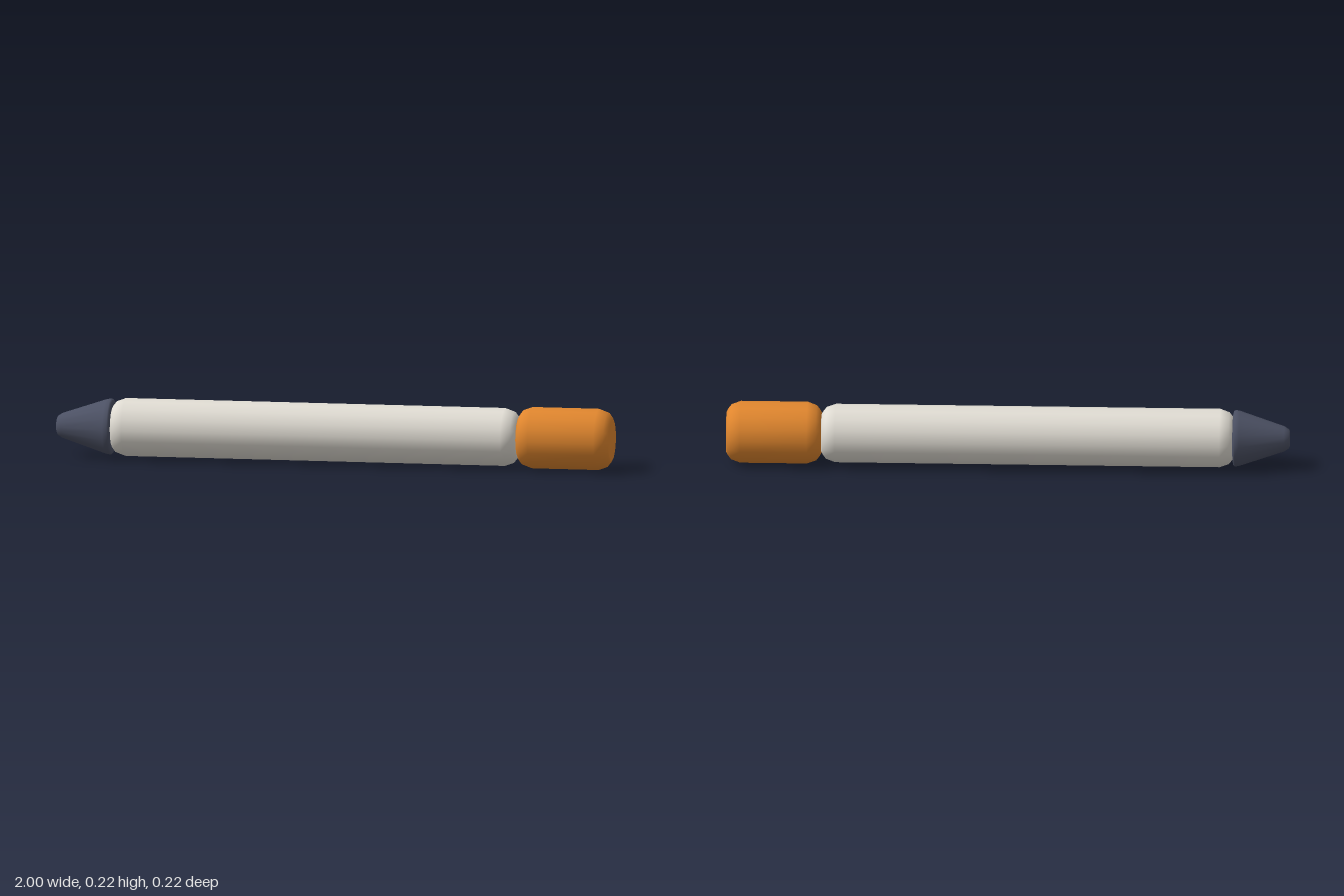
import * as THREE from 'three';

const material = (name, color) => {
  const m = new THREE.MeshStandardMaterial({ color });
  m.name = name;
  return m;
};

// Sixteen-sided solid of revolution along x, from [x, radius] pairs
function turned(name, profile, mat) {
  const points = profile.map(([x, r]) => new THREE.Vector2(r, x));
  const geometry = new THREE.LatheGeometry(points, 16);
  geometry.rotateZ(-Math.PI / 2);
  const mesh = new THREE.Mesh(geometry, mat);
  mesh.name = name;
  return mesh;
}

// Barrel with closed, rounded ends
function roundedBarrel(name, x0, x1, radius, mat) {
  const end = [[0, 0], [0, radius - 0.037], [0.004, radius - 0.029], [0.017, radius - 0.012], [0.05, radius]];
  const start = end.map(([d, r]) => [x0 + d, r]);
  const finish = end.map(([d, r]) => [x1 - d, r]).reverse();
  return turned(name, [...start, ...finish], mat);
}

export function createModel() {
  const model = new THREE.Group();
  model.name = 'marker';
  const white = material('warm white', 0xe0dcd3);
  const orange = material('orange', 0xe0862e);
  const slate = material('slate', 0x4c5164);

  // Long body and the slightly wider end cap
  model.add(roundedBarrel('body', -0.802, 0.663, 0.104, white));
  model.add(roundedBarrel('endCap', 0.663, 1, 0.11, orange));

  // Conical tip with a blunt nose and a softened rear rim
  model.add(turned('tip', [
    [-1, 0], [-1, 0.026], [-0.997, 0.034], [-0.98, 0.045],
    [-0.822, 0.098], [-0.806, 0.101], [-0.8, 0.095], [-0.798, 0.085], [-0.798, 0],
  ], slate));

  // Rest the widest part on the ground
  for (const part of model.children) part.position.y = 0.11;
  return model;
}
